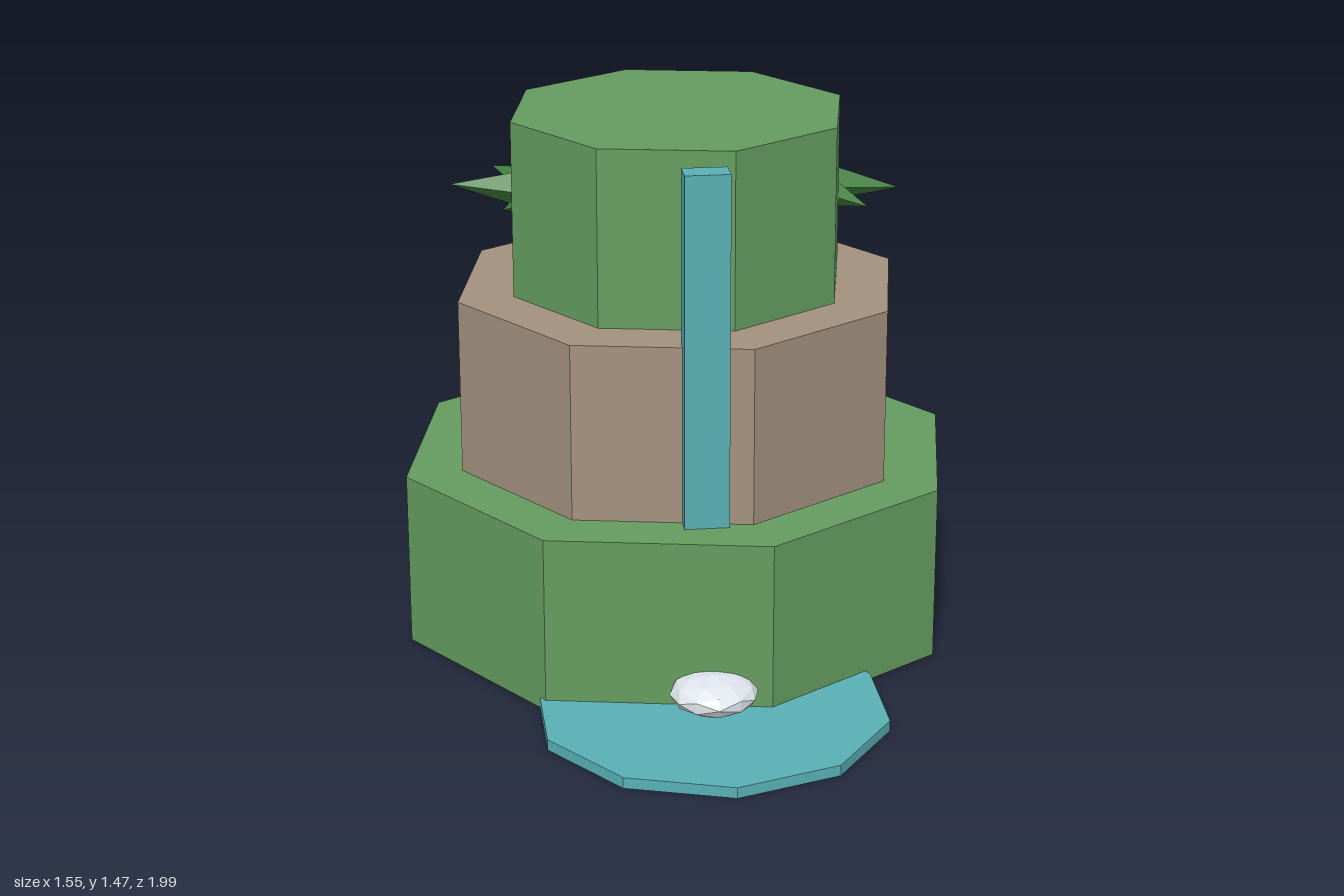
import * as THREE from 'three';

const mat = (color) => new THREE.MeshStandardMaterial({ color, flatShading: true });

export function createModel() {
  const model = new THREE.Group();
  const grass = mat(0x659c60);
  const rock = mat(0xa3917d);
  const water = mat(0x58b0b4);
  const foam = mat(0xdfe4ec);
  const bark = mat(0x8a6548);
  const leaf = mat(0x437f3f);

  const add = (parent, name, geometry, material, x = 0, y = 0, z = 0) => {
    const mesh = new THREE.Mesh(geometry, material);
    mesh.name = name;
    mesh.position.set(x, y, z);
    parent.add(mesh);
    return mesh;
  };

  // Three stacked octagonal tiers, all turned by the same small angle
  const tierHeight = 0.49;
  [['lowerTier', 0.79, grass], ['middleTier', 0.631, rock], ['upperTier', 0.474, grass]]
    .forEach(([name, radius, material], i) => {
      const tier = add(model, name, new THREE.CylinderGeometry(radius, radius, tierHeight, 8),
        material, 0, tierHeight * (i + 0.5), -0.226);
      tier.rotation.y = 0.2;
    });

  // Waterfall, pool and splash
  add(model, 'waterfall', new THREE.BoxGeometry(0.12, 0.967, 0.075), water, 0, 0.9715, 0.367);
  add(model, 'pool', new THREE.CylinderGeometry(0.474, 0.474, 0.03, 10), water, 0, 0.015, 0.52);
  add(model, 'splash', new THREE.IcosahedronGeometry(0.118, 1), foam, 0, 0.082, 0.547)
    .scale.y = 0.43;

  // Palm: leaning trunk with six four-sided leaves around the crown
  const leafLength = 0.27;
  const leafGeometry = new THREE.ConeGeometry(0.07, leafLength, 4)
    .translate(0, leafLength / 2, 0)
    .rotateZ(-Math.PI / 2);
  const up = new THREE.Vector3(0, 1, 0);

  const addPalm = (name, baseX, crownX) => {
    const palm = new THREE.Group();
    palm.name = name;
    const base = new THREE.Vector3(baseX, 0.975, -0.542);
    const top = new THREE.Vector3(crownX, 1.165, -0.53);
    const along = top.clone().sub(base);
    const trunk = add(palm, 'trunk', new THREE.CylinderGeometry(0.032, 0.05, along.length(), 5), bark);
    trunk.position.copy(base).lerp(top, 0.5);
    trunk.quaternion.setFromUnitVectors(up, along.normalize());

    const crown = new THREE.Group();
    crown.name = 'crown';
    crown.position.copy(top);
    crown.rotation.z = -0.1;
    for (let i = 0; i < 6; i++) {
      add(crown, 'leaf', leafGeometry, leaf).rotation.y = (i * Math.PI) / 3;
    }
    palm.add(crown);
    model.add(palm);
  };
  addPalm('leftPalm', 0.385, 0.41);
  addPalm('rightPalm', -0.37, -0.345);

  return model;
}
